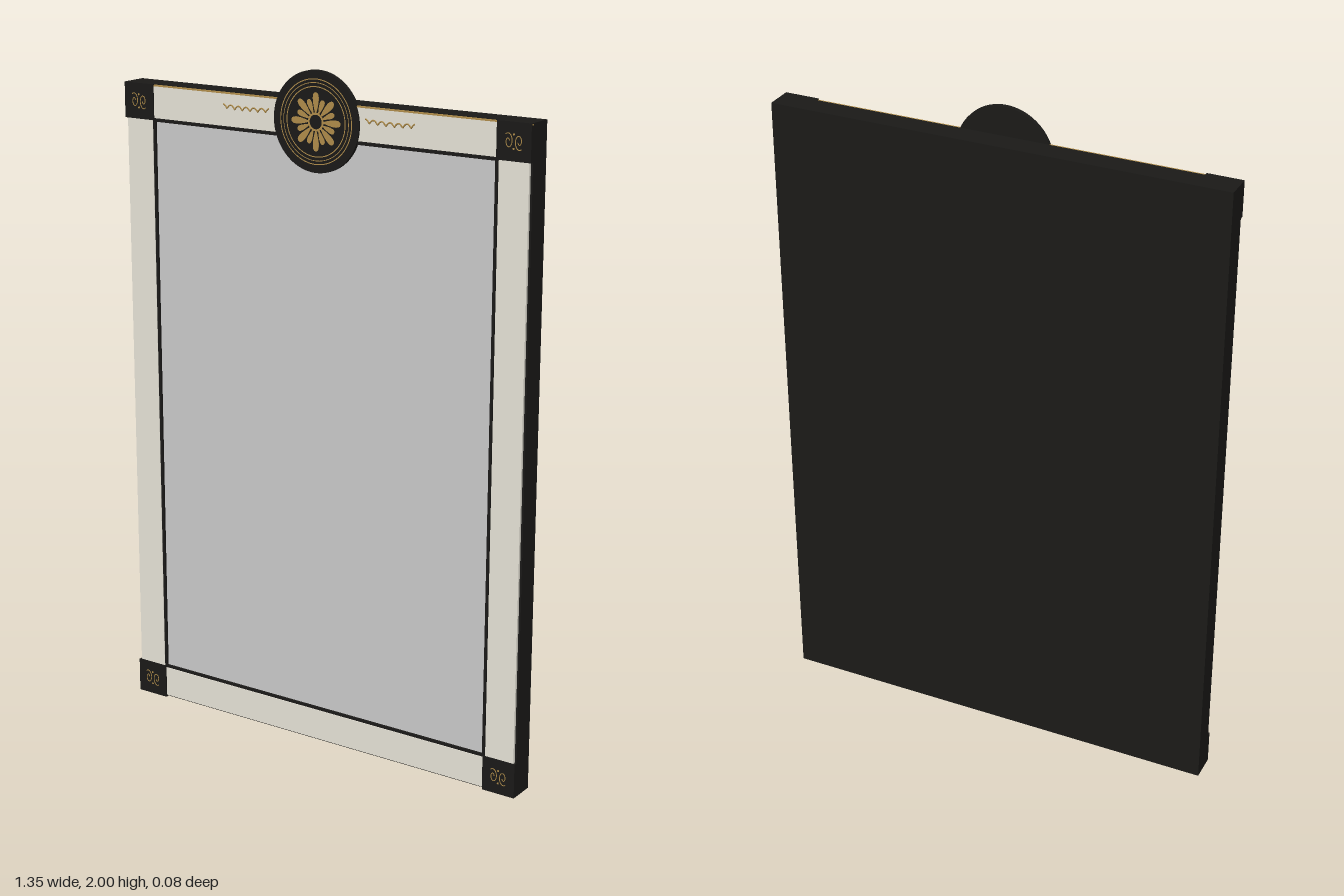
import * as THREE from 'three';

const mat = (color) => new THREE.MeshStandardMaterial({ color });
const black = mat(0x1b1a18), ivory = mat(0xe8e4d8), gold = mat(0xb08d4a), glass = mat(0xcccccc);

const W = 0.675, H = 1.915;           // half width, height of the board
const BACK = -0.042, FACE = 0.028;    // board depth
const C = 0.104;                      // corner block size
const MY = 1.858;                     // medallion centre height

export function createModel() {
  const root = new THREE.Group();

  const add = (parent, name, geometry, material, x = 0, y = 0, z = 0) => {
    const mesh = new THREE.Mesh(geometry, material);
    mesh.name = name;
    mesh.position.set(x, y, z);
    parent.add(mesh);
    return mesh;
  };
  // Box given by its centre in x and y and its z range
  const slab = (name, material, x, y, w, h, z0, z1) =>
    add(root, name, new THREE.BoxGeometry(w, h, z1 - z0), material, x, y, (z0 + z1) / 2);
  const disc = (r, depth, sides = 64) =>
    new THREE.CylinderGeometry(r, r, depth, sides).rotateX(Math.PI / 2);
  const tube = (points, r, steps) =>
    new THREE.TubeGeometry(new THREE.CatmullRomCurve3(points), steps, r, 5);

  // Backing board and mirror
  slab('backingBoard', black, 0, H / 2, 2 * W, H, BACK, FACE);
  const innerW = 2 * (W - C), innerH = H - 2 * C;
  slab('mirrorPanel', glass, 0, H / 2, innerW, innerH, FACE - 0.005, FACE + 0.002);

  // Ivory border strips, leaving thin black edges
  const band = C - 0.012;
  for (const s of [-1, 1]) {
    slab('sideStrip', ivory, s * (W - C / 2), H / 2, band, innerH, FACE, 0.036);
    slab('crossStrip', ivory, 0, H / 2 + s * (H / 2 - C / 2), innerW, band, FACE, 0.036);
    // Black beads between strips and mirror
    slab('sideBead', black, s * (W - C), H / 2, 0.008, innerH, FACE, 0.037);
    slab('crossBead', black, 0, H / 2 + s * (H / 2 - C), innerW, 0.008, FACE, 0.037);
  }
  slab('topGoldLine', gold, 0, H - 0.004, 2 * W, 0.004, FACE, 0.0365);

  // Corner blocks with a pair of mirrored scrolls and a centre stud
  const scroll = [];
  for (let i = 0; i <= 24; i++) {
    const t = i / 24, a = -2.2 + t * 8.2, r = 0.023 - 0.018 * t;
    scroll.push(new THREE.Vector3(0.016 - 0.6 * r * Math.cos(a), r * Math.sin(a), 0));
  }
  const scrollGeometry = tube(scroll, 0.0014, 60);
  for (const sx of [-1, 1]) for (const sy of [-1, 1]) {
    const corner = new THREE.Group();
    corner.name = 'cornerBlock';
    corner.position.set(sx * (W - C / 2), H / 2 + sy * (H / 2 - C / 2), 0);
    root.add(corner);
    add(corner, 'block', new THREE.BoxGeometry(C, C, 0.04 - FACE), black, 0, 0, (0.04 + FACE) / 2);
    add(corner, 'rightScroll', scrollGeometry, gold, 0, 0, 0.0402);
    add(corner, 'leftScroll', scrollGeometry, gold, 0, 0, 0.0402).rotation.z = Math.PI;
    for (const s of [-1, 1]) {
      add(corner, 'stud', disc(0.003, 0.002, 12), gold, 0, s * 0.019, 0.0402);
    }
  }

  // Wavy gold ornaments either side of the medallion
  for (const s of [-1, 1]) {
    const wave = [];
    for (let i = 0; i <= 60; i++) {
      const t = i / 60;
      wave.push(new THREE.Vector3(
        s * (0.16 + 0.16 * t),
        1.869 + 0.011 * Math.abs(Math.cos(t * Math.PI * 6)) - 0.003 * Math.sin(t * Math.PI), 0.037));
    }
    add(root, 'waveOrnament', tube(wave, 0.0022, 120), gold);
  }

  // Medallion disc with gold rings
  const medallion = new THREE.Group();
  medallion.name = 'medallion';
  medallion.position.y = MY;
  root.add(medallion);
  add(medallion, 'disc', disc(0.142, 0.0125, 96), black, 0, 0, 0.0343);
  for (const [r, t] of [[0.118, 0.0014], [0.108, 0.001], [0.097, 0.0014]]) {
    add(medallion, 'goldRing', new THREE.RingGeometry(r - t, r + t, 96), gold, 0, 0, 0.0412);
  }

  // Rosette petals, long and short by turns
  const petal = (length, width) => {
    const shape = new THREE.Shape();
    shape.moveTo(0, 0.02);
    shape.bezierCurveTo(width * 0.5, 0.035, width * 1.5, length, 0, length);
    shape.bezierCurveTo(-width * 1.5, length, -width * 0.5, 0.035, 0, 0.02);
    return new THREE.ExtrudeGeometry(shape, { depth: 0.0012, bevelEnabled: false, curveSegments: 8 });
  };
  const longPetal = petal(0.082, 0.0125), shortPetal = petal(0.066, 0.01);
  for (let i = 0; i < 16; i++) {
    const p = add(medallion, 'petal', i % 2 ? shortPetal : longPetal, gold, 0, 0, 0.0405);
    p.rotation.z = (i / 16) * Math.PI * 2;
  }
  add(medallion, 'rosetteRing', new THREE.RingGeometry(0.02, 0.026, 32), gold, 0, 0, 0.0418);
  add(medallion, 'rosetteCentre', disc(0.02, 0.002, 32), black, 0, 0, 0.041);

  return root;
}
